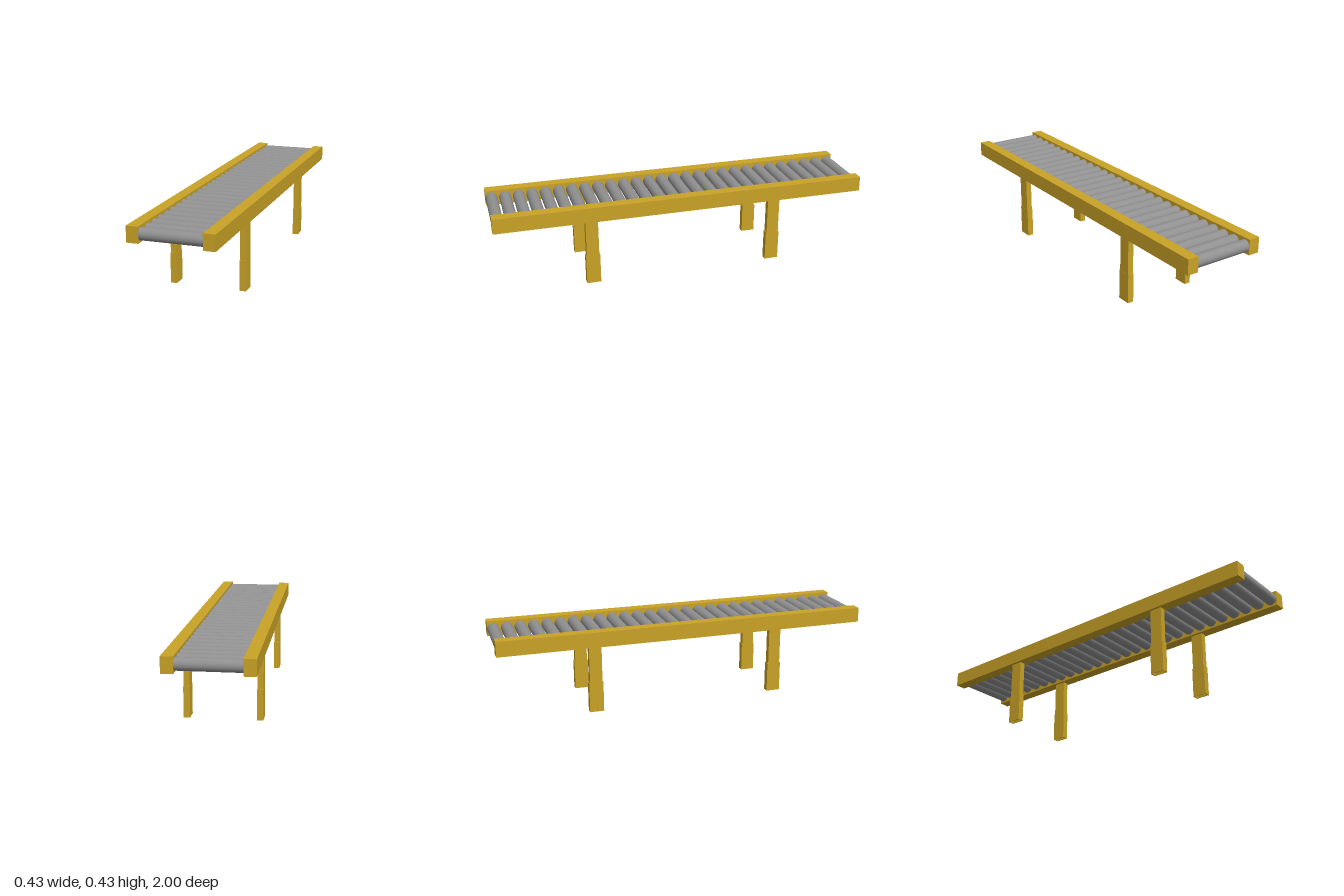
import * as THREE from 'three';

const frameMaterial = new THREE.MeshStandardMaterial({ color: 0xc9a227 });
const rollerMaterial = new THREE.MeshStandardMaterial({ color: 0x909090 });

function addMesh(parent, name, geometry, material, x, y, z) {
  const mesh = new THREE.Mesh(geometry, material);
  mesh.name = name;
  mesh.position.set(x, y, z);
  parent.add(mesh);
  return mesh;
}

// Corner points of a rectangle centred on the origin
function rectangle(w, h) {
  return [[-1, -1], [1, -1], [1, 1], [-1, 1]].map(([x, y]) => new THREE.Vector2(x * w / 2, y * h / 2));
}

export function createModel() {
  const model = new THREE.Group();
  model.name = 'rollerConveyor';

  const railBottom = 0.354, railHeight = 0.08, railWidth = 0.059;
  const railX = 0.1845, legX = 0.1845, legZ = 0.5;

  const railGeometry = new THREE.BoxGeometry(railWidth, railHeight, 2);

  // Slim upper leg, which slides into a hollow foot sleeve
  const postBottom = 0.02;
  const postGeometry = new THREE.BoxGeometry(0.031, railBottom - postBottom, 0.066);
  const sleeveHeight = 0.16;
  const sleeveShape = new THREE.Shape(rectangle(0.033, 0.075));
  sleeveShape.holes.push(new THREE.Path(rectangle(0.027, 0.066).reverse()));
  const sleeveGeometry = new THREE.ExtrudeGeometry(sleeveShape, { depth: sleeveHeight, bevelEnabled: false });
  sleeveGeometry.rotateX(-Math.PI / 2);

  for (const side of [1, -1]) {
    const sideName = side > 0 ? 'left' : 'right';
    addMesh(model, sideName + 'Rail', railGeometry, frameMaterial, side * railX, railBottom + railHeight / 2, 0);

    for (const end of [1, -1]) {
      const leg = new THREE.Group();
      leg.name = sideName + (end > 0 ? 'Front' : 'Back') + 'Leg';
      leg.position.set(side * legX, 0, end * legZ);
      addMesh(leg, 'upperLeg', postGeometry, frameMaterial, 0, (railBottom + postBottom) / 2, 0);
      addMesh(leg, 'footSleeve', sleeveGeometry, frameMaterial, 0, 0, 0);
      model.add(leg);
    }
  }

  // Row of rollers between the rails
  const rollers = new THREE.Group();
  rollers.name = 'rollers';
  model.add(rollers);
  const rollerCount = 28, rollerRadius = 0.031;
  const rollerGeometry = new THREE.CylinderGeometry(rollerRadius, rollerRadius, 0.315, 32);
  rollerGeometry.rotateZ(Math.PI / 2);
  const firstZ = -1 + rollerRadius;
  const pitch = -2 * firstZ / (rollerCount - 1);
  for (let i = 0; i < rollerCount; i++) {
    addMesh(rollers, 'roller', rollerGeometry, rollerMaterial, 0, railBottom + railHeight / 2, firstZ + i * pitch);
  }

  return model;
}
